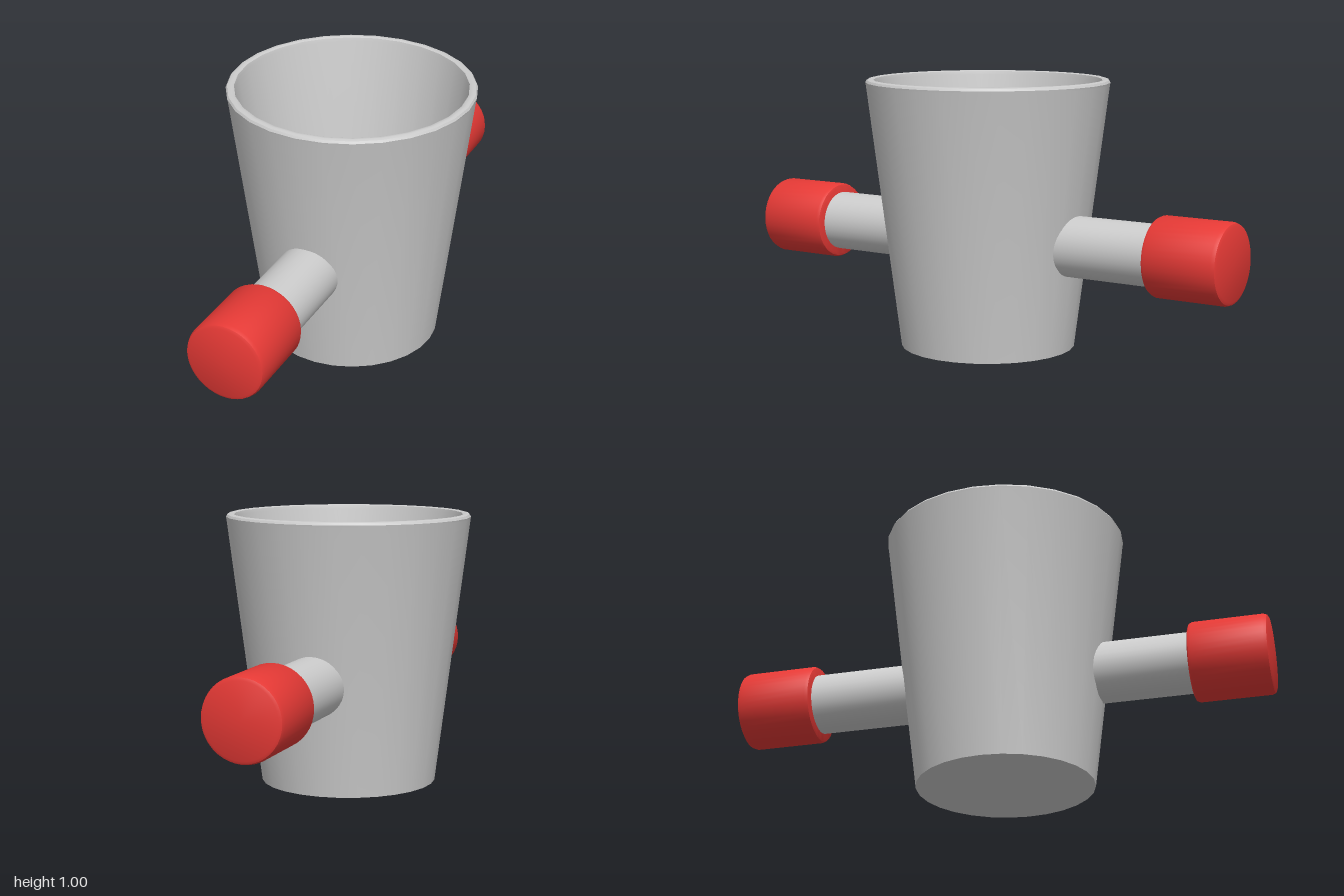
import * as THREE from 'three';
import { toCreasedNormals } from 'three/addons/utils/BufferGeometryUtils.js';

const AXLE_Y = 0.408;
const CUP_Z = 0.013;

// Lathe from [radius, height] pairs, smooth except at sharp profile corners
function turned(points, segments, crease = 0.6) {
  const g = new THREE.LatheGeometry(points.map(([r, y]) => new THREE.Vector2(r, y)), segments);
  return toCreasedNormals(g, crease);
}

function part(name, geometry, material) {
  const m = new THREE.Mesh(geometry, material);
  m.name = name;
  return m;
}

export function createModel() {
  const model = new THREE.Group();
  model.name = 'cupWithSideRods';
  const grey = new THREE.MeshStandardMaterial({ color: 0xcccccc });
  const red = new THREE.MeshStandardMaterial({ color: 0xe53935 });

  // Tapered hollow cup with a softened rim
  const cup = part('cup', turned([
    [0, 0], [0.325, 0], [0.45, 0.98], [0.452, 0.989], [0.447, 0.997], [0.438, 1],
    [0.429, 1], [0.422, 0.997], [0.419, 0.985], [0.294, 0.03], [0, 0.03],
  ], 28), grey);
  cup.position.z = CUP_Z;
  model.add(cup);

  // One rod and rounded grip per side, running through the wall
  for (const [side, label] of [[1, 'front'], [-1, 'back']]) {
    const arm = new THREE.Group();
    arm.name = label + 'Arm';
    arm.position.y = AXLE_Y;
    arm.rotation.x = side * Math.PI / 2;

    arm.add(part(label + 'Rod', turned([
      [0, 0.16], [0.112, 0.16], [0.112, 0.74], [0, 0.74],
    ], 32), grey));
    arm.add(part(label + 'Grip', turned([
      [0, 0.712], [0.132, 0.712], [0.141, 0.716], [0.146, 0.727],
      [0.146, 0.982], [0.141, 0.995], [0.131, 1], [0, 1],
    ], 40), red));

    // Fluted bullet-shaped tip on the inner end of the back rod
    if (side < 0) {
      const flutes = 16;
      const profile = [[0, -0.015], [0.02, -0.009], [0.045, 0.01], [0.07, 0.045],
        [0.092, 0.09], [0.105, 0.13], [0.11, 0.161]];
      const tip = new THREE.LatheGeometry(
        profile.map(([r, y]) => new THREE.Vector2(r, y)), flutes * 2);
      const pos = tip.attributes.position;
      for (let i = 0; i < pos.count; i++) {
        // every second column is pressed inward to form a groove
        const k = Math.floor(i / profile.length) % 2 ? 0.83 : 1;
        pos.setX(i, pos.getX(i) * k);
        pos.setZ(i, pos.getZ(i) * k);
      }
      arm.add(part('flutedTip', toCreasedNormals(tip, 0.4), grey));
    }
    model.add(arm);
  }
  return model;
}
